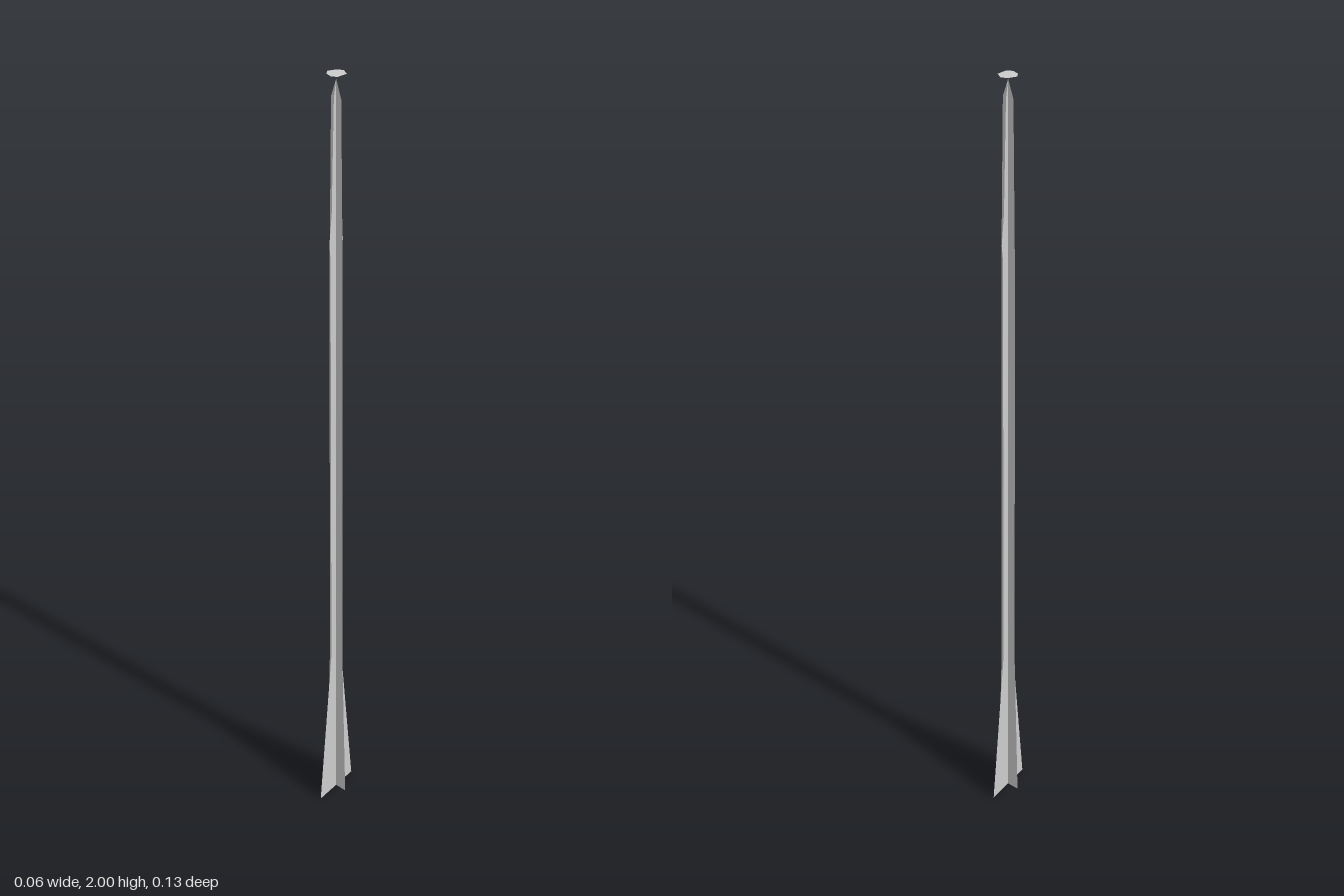
import * as THREE from 'three';

const material = new THREE.MeshStandardMaterial({ color: 0xcccccc, flatShading: true, side: THREE.DoubleSide });

// Flat upright card, symmetric about its axis, from [half width, height] pairs
function card(name, profile) {
  const right = profile.map(([w, y]) => new THREE.Vector2(w, y));
  const left = profile.filter(([w]) => w > 0).map(([w, y]) => new THREE.Vector2(-w, y)).reverse();
  const mesh = new THREE.Mesh(new THREE.ShapeGeometry(new THREE.Shape([...right, ...left])), material);
  mesh.name = name;
  return mesh;
}

export function createModel() {
  const group = new THREE.Group();
  group.name = 'crossedCardPole';

  // Narrow card facing the front
  group.add(card('frontCard', [
    [0.031, 0], [0.02, 0.47], [0.018, 1.55], [0.013, 1.95], [0, 1.99],
  ]));

  // Wide-footed card facing the sides, with a small shoulder near the top
  const sideCard = card('sideCard', [
    [0.063, 0], [0.018, 0.48], [0.018, 1.6], [0.022, 1.63], [0.014, 1.7], [0.007, 1.95], [0, 1.99],
  ]);
  sideCard.rotation.y = Math.PI / 2;
  group.add(sideCard);

  // Small irregular horizontal cap just above the tip
  const outline = [
    [-0.022, 0], [-0.015, 0.012], [0, 0.016], [0.012, 0.01], [0.016, -0.013], [0, -0.023], [-0.013, -0.015],
  ].map(([x, z]) => new THREE.Vector2(x, -z));
  const cap = new THREE.Mesh(new THREE.ShapeGeometry(new THREE.Shape(outline)), material);
  cap.name = 'topCap';
  cap.rotation.x = -Math.PI / 2;
  cap.position.y = 2;
  group.add(cap);

  return group;
}
